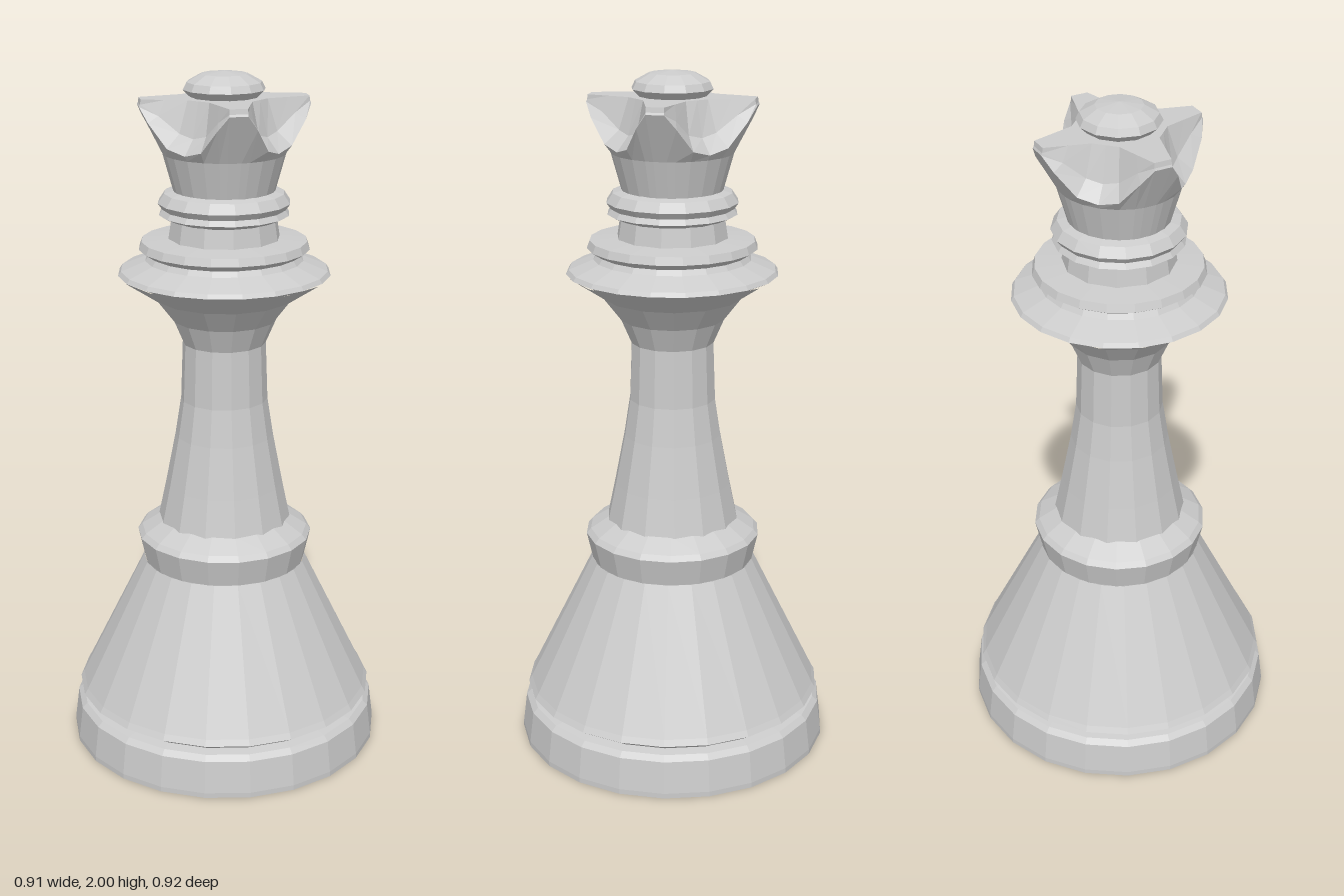
import * as THREE from 'three';

const material = new THREE.MeshStandardMaterial({ color: 0xcccccc, flatShading: true });

// One turned section: profile of [radius, height] pairs running upward
function turned(name, profile, sides) {
  const points = profile.map(([r, y]) => new THREE.Vector2(r, y));
  const mesh = new THREE.Mesh(new THREE.LatheGeometry(points, sides), material);
  mesh.name = name;
  return mesh;
}

// Four-pointed crown with a scoop between each pair of points
function createCrown() {
  // For each column in a quarter: angle, rim radius, rim height, star radius
  const quarter = [
    [6, 0.24, 1.91, 0.235], [14, 0.225, 1.87, 0.175], [28, 0.195, 1.805, 0.125],
    [45, 0.182, 1.79, 0.12],
    [62, 0.195, 1.805, 0.125], [76, 0.225, 1.87, 0.175], [84, 0.24, 1.91, 0.235],
  ];
  const top = 1.93;
  const positions = [], index = [];
  const columns = quarter.length * 4;
  let rows = 0;
  for (let q = 0; q < 4; q++) {
    for (const [angle, rimR, rimY, starR] of quarter) {
      const a = THREE.MathUtils.degToRad(angle + q * 90);
      const section = [
        [0.14, 1.66], [0.172, 1.775], [rimR, rimY],
        [rimR * 0.4 + starR * 0.6, rimY + 0.3 * (top - rimY)], // scoop
        [starR, top], [0, top],
      ];
      rows = section.length;
      for (const [r, y] of section) positions.push(r * Math.cos(a), y, r * Math.sin(a));
    }
  }
  for (let i = 0; i < columns; i++) {
    for (let k = 0; k < rows - 1; k++) {
      const a = i * rows + k, b = ((i + 1) % columns) * rows + k;
      index.push(a, a + 1, b);
      if (k < rows - 2) index.push(b, a + 1, b + 1);
    }
  }
  const geometry = new THREE.BufferGeometry();
  geometry.setAttribute('position', new THREE.Float32BufferAttribute(positions, 3));
  geometry.setIndex(index);
  geometry.computeVertexNormals();
  const mesh = new THREE.Mesh(geometry, material);
  mesh.name = 'crown';
  return mesh;
}

export function createModel() {
  const group = new THREE.Group();
  group.name = 'chessQueen';
  group.add(
    // Foot with the hollow in its underside
    turned('foot', [
      [0, 0.5], [0.25, 0.5], [0.275, 0], [0.462, 0], [0.462, 0.015], [0.45, 0.11],
      [0.435, 0.125], [0.405, 0.13],
    ], 22),
    turned('skirt', [[0.405, 0.13], [0.442, 0.155], [0.432, 0.172], [0.24, 0.565]], 22),
    turned('waistRing', [[0.24, 0.565], [0.258, 0.645], [0.245, 0.66], [0.19, 0.695]], 18),
    turned('stem', [
      [0.195, 0.69], [0.172, 0.8], [0.143, 0.95], [0.126, 1.06], [0.12, 1.23],
      [0.15, 1.3], [0.2, 1.365], [0.298, 1.43],
    ], 14),
    turned('collar', [
      [0.27, 1.42], [0.303, 1.435], [0.295, 1.447], [0.225, 1.475], [0.215, 1.49],
      [0.243, 1.508], [0.235, 1.53], [0.15, 1.537],
    ], 20),
    turned('neck', [[0.16, 1.53], [0.15, 1.595]], 12),
    turned('neckRing', [
      [0.15, 1.59], [0.185, 1.605], [0.175, 1.62], [0.188, 1.638], [0.17, 1.665], [0.13, 1.675],
    ], 16),
    createCrown(),
    turned('finial', [
      [0.09, 1.925], [0.115, 1.95], [0.105, 1.97], [0.065, 1.992], [0, 2],
    ], 12),
  );
  return group;
}
